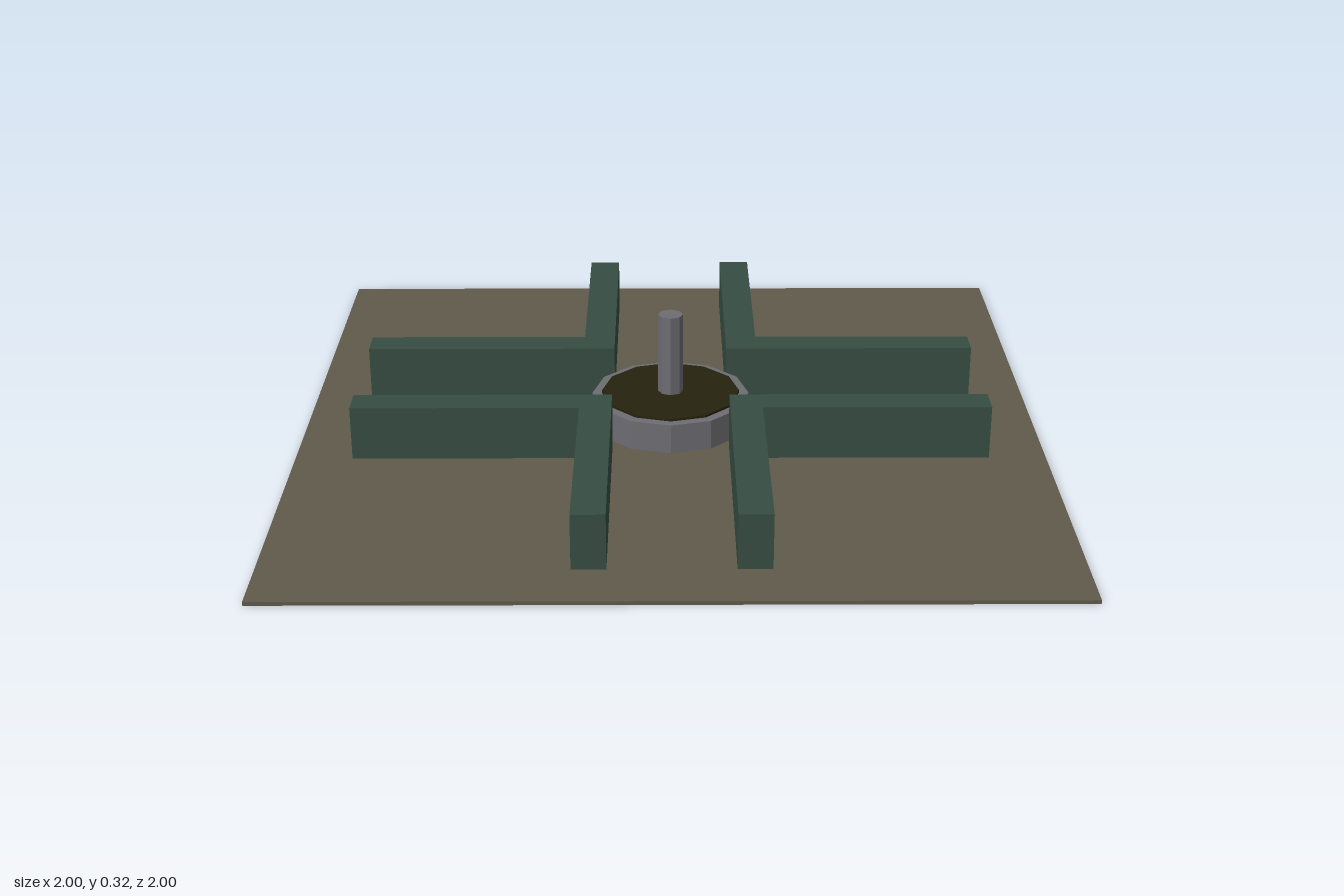
import * as THREE from 'three';

const mat = (name, color) => {
  const m = new THREE.MeshStandardMaterial({ color });
  m.name = name;
  return m;
};

export function createModel() {
  const group = new THREE.Group();
  const gravel = mat('gravel', 0x5f5a4a);
  const leaf = mat('hedge green', 0x364c42);
  const stone = mat('stone', 0x6c6c72);
  const waterMat = mat('dark water', 0x25220f);

  const add = (name, geometry, material, y) => {
    const mesh = new THREE.Mesh(geometry, material);
    mesh.name = name;
    mesh.position.y = y;
    group.add(mesh);
    return mesh;
  };
  // Faceted prism standing on y = bottom
  const prism = (name, radius, bottom, top, sides, material) => {
    const g = new THREE.CylinderGeometry(radius, radius, top - bottom, sides).toNonIndexed();
    g.computeVertexNormals();
    return add(name, g, material, (bottom + top) / 2);
  };

  // Ground slab
  add('ground', new THREE.BoxGeometry(2, 0.01, 2), gravel, 0.005);

  // Four L-shaped hedges, one per quadrant
  const near = 0.157, inner = 0.243, far = 0.848, bottom = 0.002, top = 0.157;
  const outline = new THREE.Shape([
    [near, near], [far, near], [far, inner], [inner, inner], [inner, far], [near, far],
  ].map(([x, y]) => new THREE.Vector2(x, y)));
  const hedgeGeometry = new THREE.ExtrudeGeometry(outline, { depth: top - bottom, bevelEnabled: false });
  hedgeGeometry.rotateX(-Math.PI / 2);
  for (let i = 0; i < 4; i++) {
    add('hedge' + (i + 1), hedgeGeometry, leaf, bottom).rotation.y = i * Math.PI / 2;
  }

  // Fountain: basin, water surface and central spout
  prism('basin', 0.215, 0.002, 0.092, 12, stone);
  prism('water', 0.189, 0.09, 0.099, 12, waterMat);
  prism('spout', 0.034, 0.09, 0.325, 8, stone);

  return group;
}
